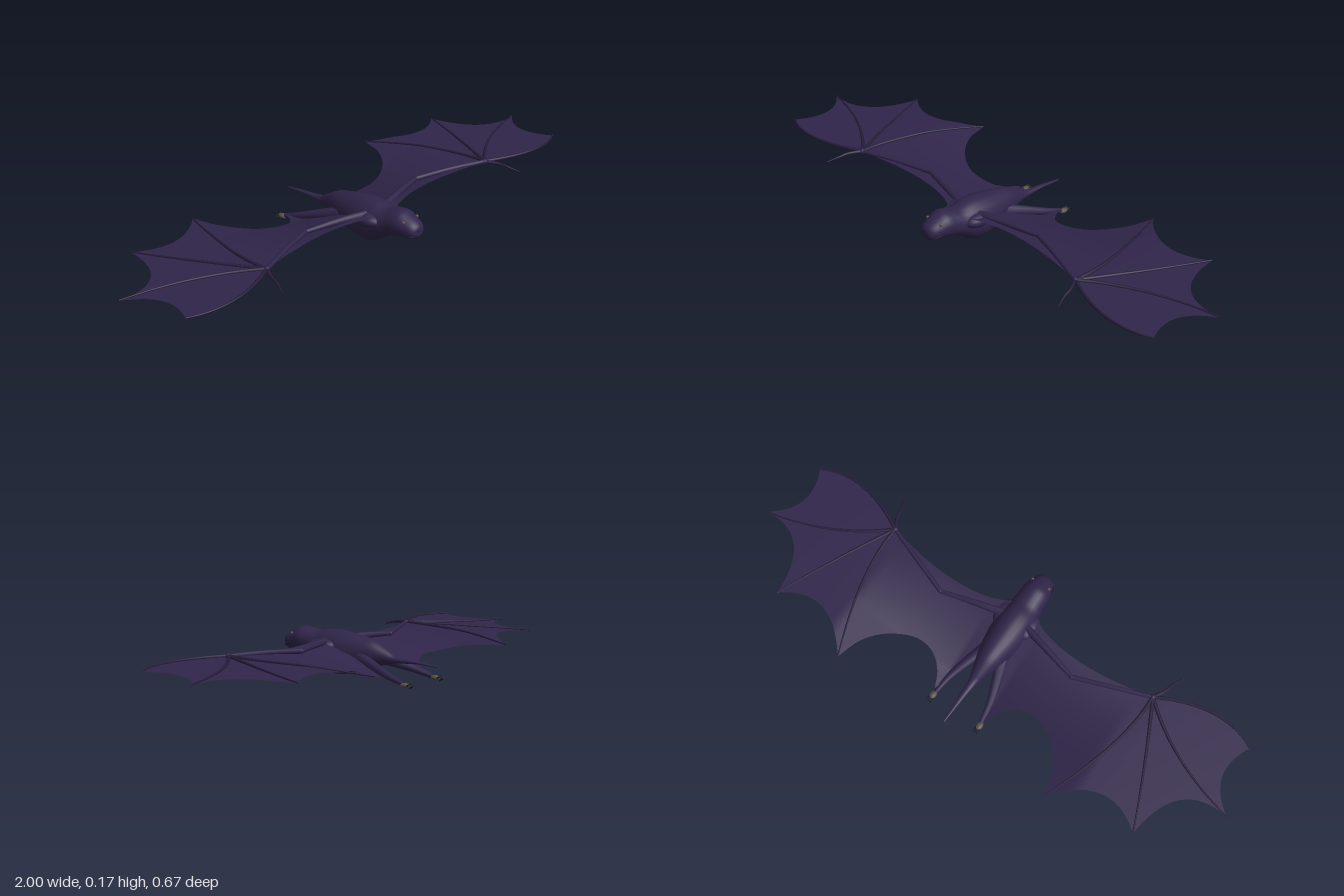
import * as THREE from 'three';

const mat = (name, color, side = THREE.FrontSide) =>
  Object.assign(new THREE.MeshStandardMaterial({ color, side }), { name });
const V = (x, y, z) => new THREE.Vector3(x, y, z);
const clamp = THREE.MathUtils.clamp;

// height of the wing surface: nearly flat, sagging to the leg near the body
function wingY(x, z) {
  const inner = clamp(1 - (x - 0.1) / 0.42, 0, 1);
  const drop = clamp((0.13 - z) * 0.34, 0, 0.09) * inner;
  return 0.129 + 0.045 * z - drop - 0.006 * clamp((x - 0.6) / 0.4, 0, 1);
}

// smooth body from sections [z, top, bottom, halfWidth], nose to tail
function loft(sections, rings = 64, sides = 24) {
  const line = new THREE.CatmullRomCurve3(sections.map(s => V(s[0], s[1], s[2])), false, 'catmullrom', 0.5);
  const wide = new THREE.CatmullRomCurve3(sections.map(s => V(s[3], 0, 0)), false, 'catmullrom', 0.5);
  const pos = [], idx = [];
  for (let i = 0; i <= rings; i++) {
    const p = line.getPoint(i / rings), w = Math.max(0, wide.getPoint(i / rings).x);
    for (let j = 0; j < sides; j++) {
      const a = j / sides * Math.PI * 2;
      pos.push(w * Math.cos(a), (p.y + p.z) / 2 + (p.y - p.z) / 2 * Math.sin(a), p.x);
      if (i < rings) {
        const k = (j + 1) % sides, A = i * sides, B = A + sides;
        idx.push(A + j, B + j, A + k, B + j, B + k, A + k);
      }
    }
  }
  const g = new THREE.BufferGeometry();
  g.setAttribute('position', new THREE.Float32BufferAttribute(pos, 3));
  g.setIndex(idx);
  g.computeVertexNormals();
  return g;
}

// tube whose radius shrinks from r0 to r1 along the path
function taper(points, r0, r1, seg = 16, sides = 8) {
  const path = new THREE.CatmullRomCurve3(points);
  const g = new THREE.TubeGeometry(path, seg, 1, sides);
  const p = g.attributes.position, v = V(0, 0, 0);
  for (let i = 0; i <= seg; i++) {
    const c = path.getPointAt(i / seg), r = r0 + (r1 - r0) * i / seg;
    for (let j = 0; j <= sides; j++) {
      const n = i * (sides + 1) + j;
      v.fromBufferAttribute(p, n).sub(c).multiplyScalar(r).add(c);
      p.setXYZ(n, v.x, v.y, v.z);
    }
  }
  return g;
}

// membrane panel spanning two side curves, a front curve and a scalloped back curve
function panel(f0, f1, front, back, s, n = 20) {
  const pos = [], idx = [], a = V(0, 0, 0);
  const lerp = (p, q, u) => p.clone().lerp(q, u);
  for (let i = 0; i <= n; i++) for (let j = 0; j <= n; j++) {
    const u = i / n, v = j / n;
    a.copy(lerp(f0.getPoint(v), f1.getPoint(v), u));
    a.addScaledVector(back.getPoint(u).sub(lerp(f0.getPoint(1), f1.getPoint(1), u)), v);
    if (front) a.addScaledVector(front.getPoint(u).sub(lerp(f0.getPoint(0), f1.getPoint(0), u)), 1 - v);
    pos.push(s * a.x, wingY(a.x, a.z), a.z);
    if (i < n && j < n) {
      const k = i * (n + 1) + j, m = k + n + 1;
      if (s > 0) idx.push(k, k + 1, m, m, k + 1, m + 1);
      else idx.push(k, m, k + 1, m, m + 1, k + 1);
    }
  }
  const g = new THREE.BufferGeometry();
  g.setAttribute('position', new THREE.Float32BufferAttribute(pos, 3));
  g.setIndex(idx);
  g.computeVertexNormals();
  return g;
}

export function createModel() {
  const root = new THREE.Group();
  const fur = mat('dark purple fur', 0x30254a);
  const skin = mat('purple wing skin', 0x30254a, THREE.DoubleSide);
  const bone = mat('deep purple bone', 0x261c3a);
  const grey = mat('grey brown', 0x565046);
  const dark = mat('near black', 0x1a1620);
  const add = (name, geo, material, parent = root) => {
    const m = new THREE.Mesh(geo, material);
    m.name = name;
    parent.add(m);
    return m;
  };

  // head, trunk and tail in one flowing form
  add('body', loft([
    [0.338, 0.121, 0.119, 0], [0.336, 0.136, 0.1, 0.02], [0.322, 0.15, 0.089, 0.036],
    [0.295, 0.164, 0.084, 0.045], [0.262, 0.177, 0.078, 0.053], [0.225, 0.172, 0.067, 0.055],
    [0.19, 0.165, 0.05, 0.06], [0.15, 0.173, 0.022, 0.067], [0.11, 0.174, 0.012, 0.07],
    [0.06, 0.168, 0.017, 0.067], [0, 0.156, 0.034, 0.055], [-0.05, 0.143, 0.05, 0.042],
    [-0.1, 0.115, 0.063, 0.026], [-0.14, 0.094, 0.069, 0.016], [-0.22, 0.084, 0.073, 0.009],
    [-0.3, 0.073, 0.068, 0.004], [-0.308, 0.07, 0.07, 0]]), fur);

  // mouth line wrapped round the muzzle
  add('mouth', taper([V(-0.044, 0.115, 0.3), V(-0.034, 0.106, 0.325), V(0, 0.102, 0.335),
    V(0.034, 0.106, 0.325), V(0.044, 0.115, 0.3)], 0.002, 0.002, 24, 6), dark);

  for (const s of [1, -1]) {
    const label = s > 0 ? 'left' : 'right';
    const side = new THREE.Group();
    side.name = label + 'Side';
    root.add(side);
    const P = (x, y, z) => V(s * x, y, z);
    const onWing = (x, z, lift = 0.002) => P(x, wingY(x, z) + lift, z);

    // eye and nostril
    add('eye', new THREE.SphereGeometry(0.006, 14, 10), grey, side).position.set(s * 0.035, 0.151, 0.293);
    add('nostril', new THREE.SphereGeometry(0.003, 8, 6), dark, side).position.set(s * 0.01, 0.124, 0.336);

    // shoulder muscle
    const shoulder = add('shoulder', new THREE.SphereGeometry(1, 20, 14), fur, side);
    shoulder.scale.set(0.035, 0.026, 0.055);
    shoulder.position.set(s * 0.052, 0.118, 0.14);

    // wing edges and fingers, laid out flat then lifted by the wing surface
    const curve = (...pts) => new THREE.QuadraticBezierCurve3(...pts.map(p => V(p[0], 0, p[1])));
    const wrist = [0.56, 0.17];
    const fingers = [
      curve([0.04, 0.19], [0.05, -0.02], [0.108, -0.215]),
      curve(wrist, [0.575, -0.02], [0.445, -0.335]),
      curve(wrist, [0.68, -0.06], [0.767, -0.27]),
      curve(wrist, [0.74, 0.01], [0.998, -0.04]),
      curve(wrist, [0.78, 0.292], [0.935, 0.207])];
    const scallops = [[0.12, -0.14], [0.25, -0.025], [0.37, -0.12], [0.605, -0.135], [0.79, -0.01], [0.855, 0.055]];
    const hem = new THREE.CatmullRomCurve3([[0.108, -0.215], [0.14, -0.155], [0.19, -0.115],
      [0.26, -0.108], [0.35, -0.155], [0.415, -0.235], [0.445, -0.335]].map(p => V(p[0], 0, p[1])));
    add('innerMembrane', panel(fingers[0], fingers[1], curve([0.04, 0.19], [0.2, 0.085], wrist), hem, s, 32), skin, side);
    for (let i = 1; i < 4; i++) {
      const a = fingers[i].v2, b = fingers[i + 1].v2, c = scallops[i + 2];
      add('outerMembrane', panel(fingers[i], fingers[i + 1], null,
        new THREE.QuadraticBezierCurve3(a, V(c[0], 0, c[1]), b), s), skin, side);
    }
    for (let i = 1; i < 5; i++) {
      const pts = fingers[i].getPoints(8).map(p => onWing(p.x, p.z));
      add('finger', taper(pts, 0.007, 0.0025, 24), bone, side);
    }

    // arm bones, with a rounded elbow and wrist
    add('upperArm', taper([P(0.04, 0.132, 0.135), P(0.15, 0.135, 0.105), P(0.285, 0.131, 0.07)], 0.016, 0.008), fur, side);
    add('forearm', taper([P(0.285, 0.131, 0.07), P(0.42, 0.138, 0.118), P(0.56, 0.138, 0.17)], 0.009, 0.008), fur, side);
    add('elbow', new THREE.SphereGeometry(0.009, 12, 8), fur, side).position.set(s * 0.285, 0.131, 0.07);
    add('wrist', new THREE.SphereGeometry(0.011, 12, 8), fur, side).position.set(s * 0.56, 0.138, 0.17);
    add('thumb', taper([P(0.56, 0.138, 0.17), P(0.585, 0.136, 0.22), P(0.592, 0.132, 0.25), P(0.61, 0.12, 0.296)],
      0.008, 0.002), bone, side);

    // leg, foot and hooked claws
    add('leg', taper([P(0.035, 0.085, 0), P(0.062, 0.066, -0.07), P(0.088, 0.041, -0.15), P(0.1, 0.018, -0.222)],
      0.024, 0.008, 20, 10), fur, side);
    const foot = add('foot', new THREE.SphereGeometry(1, 14, 10), grey, side);
    foot.scale.set(0.012, 0.009, 0.019);
    foot.position.set(s * 0.102, 0.014, -0.234);
    for (const d of [-0.008, 0, 0.008])
      add('claw', taper([P(0.102 + d, 0.014, -0.246), P(0.102 + d, 0.019, -0.257), P(0.102 + d, 0.013, -0.263),
        P(0.102 + d, 0.004, -0.255)], 0.003, 0.001, 10, 6), dark, side);
  }
  return root;
}
